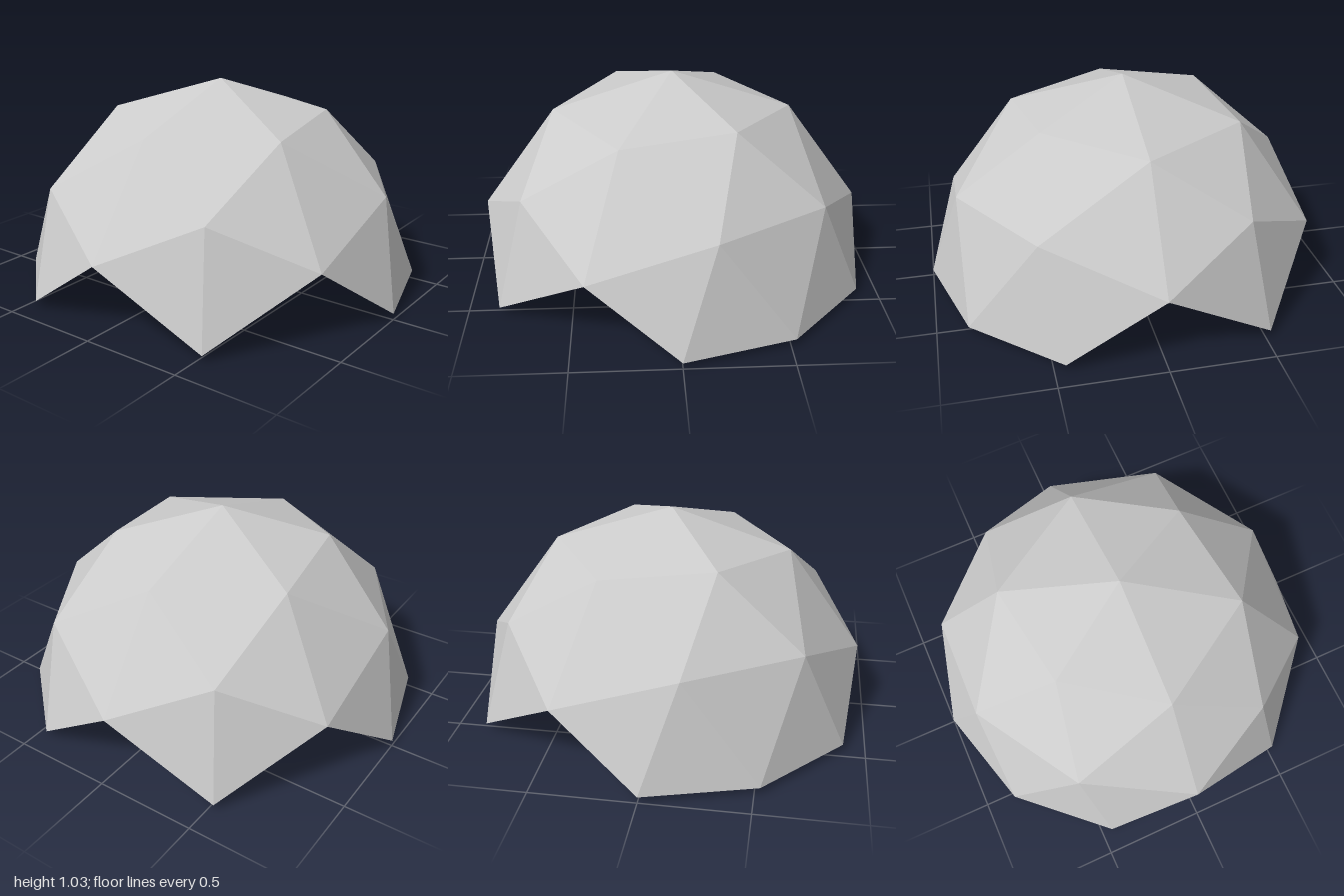
import * as THREE from 'three';

const grey = new THREE.MeshStandardMaterial({ color: 0xcccccc, flatShading: true, side: THREE.DoubleSide });
grey.name = 'plain grey';

const BASE = 0.03;

// Geodesic shell: keep only the faces wholly above the base, which leaves four triangular openings
function domeGeometry() {
  const source = new THREE.IcosahedronGeometry(1, 1).toNonIndexed
    ? new THREE.IcosahedronGeometry(1, 1) : null;
  const p = source.getAttribute('position');
  const kept = [];
  for (let i = 0; i < p.count; i += 3) {
    const corners = [i, i + 1, i + 2];
    if (corners.some((c) => p.getY(c) < -0.001)) continue;
    for (const c of corners) kept.push(p.getX(c), p.getY(c), p.getZ(c));
  }
  const geometry = new THREE.BufferGeometry();
  geometry.setAttribute('position', new THREE.Float32BufferAttribute(kept, 3));
  geometry.rotateY(Math.atan2(0.2764, 0.4472));
  geometry.translate(0, BASE, 0);
  geometry.computeVertexNormals();
  return geometry;
}

function add(parent, name, geometry) {
  const mesh = new THREE.Mesh(geometry, grey);
  mesh.name = name;
  parent.add(mesh);
  return mesh;
}

// A board spanning width w at x, running between two (z, y) points
function board(parent, name, x, w, thick, [z0, y0], [z1, y1]) {
  const length = Math.hypot(z1 - z0, y1 - y0);
  const mesh = add(parent, name, new THREE.BoxGeometry(w, thick, length));
  mesh.position.set(x, (y0 + y1) / 2, (z0 + z1) / 2);
  mesh.rotation.x = -Math.atan2(y1 - y0, z1 - z0);
  return mesh;
}

function createChair() {
  const chair = new THREE.Group();
  chair.name = 'chair';
  // Seat, front apron and reclined back
  board(chair, 'seat', 0, 0.15, 0.008, [0.115, 0.084], [-0.03, 0.055]);
  board(chair, 'frontApron', 0, 0.15, 0.008, [0.115, 0.084], [0.115, 0.022]);
  board(chair, 'backrest', 0, 0.14, 0.008, [-0.03, 0.055], [-0.1, 0.142]);
  // Arms, sloping rails and legs on both sides
  for (const side of [-1, 1]) {
    board(chair, 'arm', side * 0.08, 0.035, 0.008, [0.08, 0.125], [-0.11, 0.131]);
    board(chair, 'rail', side * 0.07, 0.012, 0.012, [0.1, 0.075], [-0.06, 0.128]);
    board(chair, 'frontLeg', side * 0.082, 0.025, 0.012, [0.085, 0.122], [0.085, 0.025]);
    board(chair, 'rearLeg', side * 0.075, 0.012, 0.012, [-0.04, 0.125], [-0.06, 0.025]);
  }
  return chair;
}

export function createModel() {
  const model = new THREE.Group();
  model.name = 'geodesicShelter';
  add(model, 'dome', domeGeometry());
  // Small mat lying on the ground below the chair
  add(model, 'floorMat', new THREE.PlaneGeometry(0.27, 0.27).rotateX(-Math.PI / 2));
  model.add(createChair());
  return model;
}
